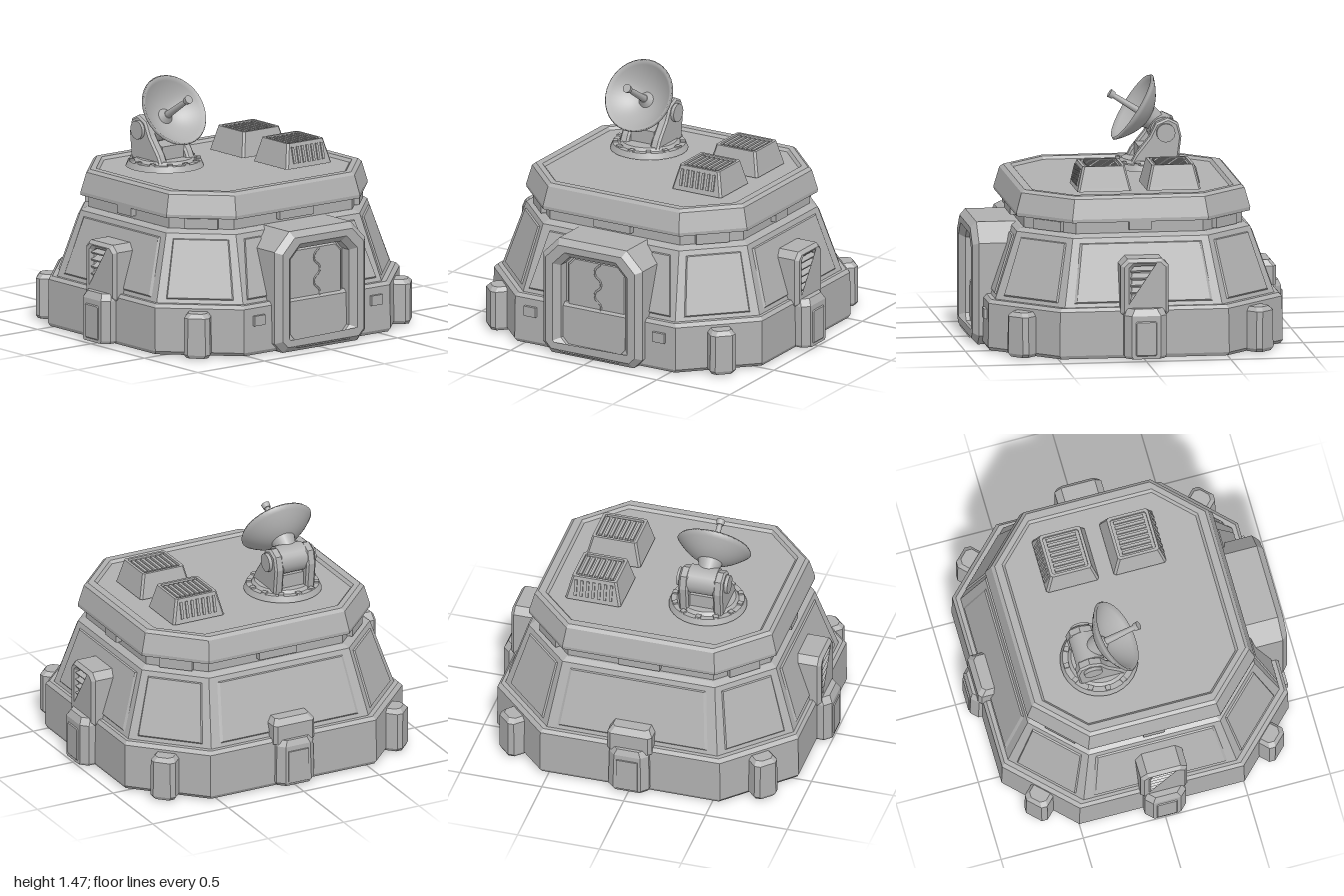
import * as THREE from 'three';

const grey = new THREE.MeshStandardMaterial({ color: 0xb0b0b0 });
grey.name = 'hull grey';

function add(parent, name, geo, x = 0, y = 0, z = 0) {
  const m = new THREE.Mesh(geo, grey);
  m.name = name;
  m.position.set(x, y, z);
  parent.add(m);
  return m;
}

// Corners of a chamfered rectangle, running from +x towards +z
function octagon(X, Z, c) {
  return [[X, Z - c], [X - c, Z], [c - X, Z], [-X, Z - c],
    [-X, c - Z], [c - X, -Z], [X - c, -Z], [X, c - Z]];
}

function triangles(list) {
  const g = new THREE.BufferGeometry();
  g.setAttribute('position', new THREE.Float32BufferAttribute(list.flat(2), 3));
  g.computeVertexNormals();
  return g;
}

// Stack of chamfered rectangles [halfX, halfZ, chamfer, y], closed at both ends
function loft(rows) {
  const rings = rows.map(([X, Z, c, y]) => octagon(X, Z, c).map(([x, z]) => [x, y, z]));
  const t = [];
  for (let r = 0; r + 1 < rings.length; r++) {
    for (let i = 0; i < 8; i++) {
      const j = (i + 1) % 8, lo = rings[r], hi = rings[r + 1];
      t.push([lo[j], lo[i], hi[i]], [lo[j], hi[i], hi[j]]);
    }
  }
  const bot = rings[0], top = rings[rings.length - 1];
  for (let i = 1; i < 7; i++) t.push([bot[0], bot[i], bot[i + 1]], [top[0], top[i + 1], top[i]]);
  return triangles(t);
}

// Upright outline with cut corners
function outline(w, y0, y1, cb, ct, Kind = THREE.Shape) {
  const s = new Kind();
  [[w - cb, y0], [w, y0 + cb], [w, y1 - ct], [w - ct, y1], [ct - w, y1],
    [-w, y1 - ct], [-w, y0 + cb], [cb - w, y0]].forEach(([x, y], i) => (i ? s.lineTo(x, y) : s.moveTo(x, y)));
  s.closePath();
  return s;
}

// Extrusion from z0 to z1 with a bevelled edge
function slab(shape, z0, z1, b) {
  const g = new THREE.ExtrudeGeometry(shape, {
    depth: z1 - z0 - 2 * b, bevelEnabled: b > 0, bevelThickness: b, bevelSize: b, bevelOffset: -b, bevelSegments: 1 });
  return g.translate(0, 0, z0 + b);
}

// Thin raised plate on a sloping wall; u and v run 0..1 across and up the face
function wallPlate(parent, name, lo, hi, i, u0, u1, v0, v1, inset = 0) {
  const j = (i + 1) % 8;
  const P = (r, k) => { const p = octagon(r[0], r[1], r[2])[k]; return new THREE.Vector3(p[0], r[3], p[1]); };
  const a = P(lo, j), b = P(lo, i), c = P(hi, i), d = P(hi, j);
  const n = b.clone().sub(a).cross(d.clone().sub(a)).normalize();
  const at = (u, v, h) => a.clone().lerp(b, u).lerp(d.clone().lerp(c, u), v).addScaledVector(n, h).toArray();
  const uv = [[u0, v0], [u1, v0], [u1 - inset, v1], [u0 + inset, v1]];
  const base = uv.map(([u, v]) => at(u, v, -0.004));
  const um = (u0 + u1) / 2, vm = (v0 + v1) / 2;
  const face = uv.map(([u, v]) => at(u + (um - u) * 0.05, v + (vm - v) * 0.05, 0.009));
  const t = [[face[0], face[1], face[2]], [face[0], face[2], face[3]]];
  for (let k = 0; k < 4; k++) {
    const m = (k + 1) % 4;
    t.push([base[k], base[m], face[m]], [base[k], face[m], face[k]]);
  }
  add(parent, name, triangles(t));
}

function makeDoor() {
  const door = new THREE.Group();
  door.name = 'door';
  add(door, 'doorBlock', slab(outline(0.34, 0, 0.72, 0.06, 0.11), 0.5, 0.83, 0));
  const rim = outline(0.34, 0, 0.72, 0.06, 0.11);
  rim.holes.push(outline(0.22, 0.06, 0.61, 0.04, 0.06, THREE.Path));
  add(door, 'doorFrame', slab(rim, 0.79, 0.93, 0.035));
  add(door, 'doorPanel', slab(outline(0.2, 0.06, 0.6, 0.04, 0.05), 0.8, 0.855, 0.012));
  const seam = [];
  for (let i = 0; i <= 14; i++) seam.push(new THREE.Vector3(0.01 + (Math.floor(i / 2) % 2 ? 0.018 : -0.018), 0.08 + i * 0.036, 0.855));
  add(door, 'doorSeam', new THREE.TubeGeometry(new THREE.CatmullRomCurve3(seam), 60, 0.006, 5));
  door.rotation.y = Math.PI / 2;
  return door;
}

// Louvred intake with its lower housing
function makeIntake() {
  const g = new THREE.Group();
  g.name = 'intake';
  const hood = outline(0.142, 0.27, 0.6, 0.01, 0.04);
  hood.holes.push(outline(0.075, 0.3, 0.555, 0.005, 0.015, THREE.Path));
  add(g, 'intakeHood', slab(hood, 0.7, 0.945, 0.02));
  add(g, 'intakeBack', new THREE.BoxGeometry(0.2, 0.28, 0.12), 0, 0.43, 0.84);
  for (let i = 0; i < 6; i++) {
    add(g, 'intakeSlat', new THREE.BoxGeometry(0.17, 0.012, 0.045), 0, 0.322 + i * 0.043, 0.917).rotation.x = 0.5;
  }
  add(g, 'intakeHousing', loft([[0.115, 0.12, 0.04, 0.015], [0.125, 0.12, 0.04, 0.03], [0.125, 0.12, 0.04, 0.27], [0.105, 0.1, 0.04, 0.31]]), 0, 0, 0.88);
  add(g, 'housingPlate', slab(outline(0.065, 0.03, 0.24, 0.01, 0.01), 0.98, 1.006, 0.008));
  return g;
}

function makeRoofVent(side) {
  const g = new THREE.Group();
  g.name = 'roofVent';
  add(g, 'ventBody', loft([[0.16, 0.17, 0.012, 0], [0.155, 0.165, 0.012, 0.02], [0.125, 0.135, 0.012, 0.145],
    [0.108, 0.118, 0.008, 0.145], [0.108, 0.118, 0.008, 0.13]]));
  for (let i = 0; i < 7; i++) {
    const k = i - 3;
    add(g, 'topSlat', new THREE.BoxGeometry(0.18, 0.012, 0.018), 0, 0.136, k * 0.032);
    add(g, 'sideSlat', new THREE.BoxGeometry(0.018, 0.1, 0.016), side * 0.141, 0.075, k * 0.036).rotation.z = side * 0.24;
  }
  return g;
}

function makeDish() {
  const g = new THREE.Group();
  g.name = 'dishAntenna';
  // Turntable
  add(g, 'turntable', new THREE.CylinderGeometry(0.215, 0.23, 0.035, 32), 0, 0.015, 0);
  add(g, 'turntableTop', new THREE.CylinderGeometry(0.165, 0.185, 0.02, 32), 0, 0.04, 0);
  for (let i = 0; i < 12; i++) {
    const a = i * Math.PI / 6;
    add(g, 'turntableBolt', new THREE.BoxGeometry(0.03, 0.014, 0.03), 0.198 * Math.cos(a), 0.036, 0.198 * Math.sin(a)).rotation.y = -a;
  }
  // Yoke and pivot drum
  const arm = new THREE.Shape([[-0.15, 0.03], [0.13, 0.03], [0.1, 0.09], [0.02, 0.19], [-0.02, 0.27], [-0.09, 0.3], [-0.15, 0.27], [-0.17, 0.19]]
    .map(([x, y]) => new THREE.Vector2(x, y)));
  for (const s of [-1, 1]) {
    const z = s * 0.105;
    add(g, 'yokeArm', slab(arm, z - 0.03, z + 0.03, 0.012));
    add(g, 'pivotCap', new THREE.CylinderGeometry(0.055, 0.055, 0.03, 24), -0.075, 0.215, s * 0.14).rotation.x = Math.PI / 2;
  }
  add(g, 'pivotDrum', new THREE.CylinderGeometry(0.085, 0.085, 0.17, 24), -0.075, 0.215, 0).rotation.x = Math.PI / 2;
  add(g, 'yokeBase', new THREE.BoxGeometry(0.2, 0.1, 0.16), -0.02, 0.08, 0);
  // Reflector and feed, built along +y and tilted towards +x
  const head = new THREE.Group();
  head.name = 'dishHead';
  const outer = [], inner = [];
  for (let i = 0; i <= 10; i++) {
    const r = 0.222 * i / 10, y = -0.115 + 0.115 * (i / 10) ** 2;
    outer.push(new THREE.Vector2(r, y));
    inner.unshift(new THREE.Vector2(r * 0.955, y + 0.014));
  }
  add(head, 'reflector', new THREE.LatheGeometry([...outer, ...inner], 40));
  add(head, 'feedHub', new THREE.CylinderGeometry(0.024, 0.055, 0.04, 20), 0, -0.085, 0);
  add(head, 'feedRod', new THREE.CylinderGeometry(0.015, 0.022, 0.23, 16), 0, 0.03, 0);
  add(head, 'feedTip', new THREE.CylinderGeometry(0.026, 0.022, 0.03, 16), 0, 0.15, 0);
  add(head, 'dishNeck', new THREE.CylinderGeometry(0.075, 0.05, 0.09, 20), 0, -0.14, 0);
  head.position.set(0.098, 0.345, 0.01);
  head.rotation.z = -1.005;
  g.add(head);
  return g;
}

export function createModel() {
  const model = new THREE.Group();
  model.name = 'outpost';

  // Hull
  const wallLow = [0.825, 0.88, 0.36, 0.31], wallHigh = [0.69, 0.755, 0.29, 0.7];
  add(model, 'base', loft([[0.86, 0.91, 0.37, 0.01], [0.872, 0.92, 0.37, 0.03], [0.868, 0.918, 0.37, 0.29], [0.85, 0.9, 0.365, 0.31]]));
  add(model, 'wall', loft([[0.825, 0.88, 0.36, 0.29], wallLow, wallHigh, [0.66, 0.725, 0.28, 0.72]]));
  add(model, 'neck', loft([[0.645, 0.715, 0.27, 0.7], [0.645, 0.715, 0.27, 0.8]]));
  add(model, 'roof', loft([[0.66, 0.72, 0.28, 0.785], [0.69, 0.755, 0.29, 0.79], [0.692, 0.755, 0.29, 0.81], [0.66, 0.725, 0.275, 0.925],
    [0.64, 0.705, 0.265, 0.942], [0.595, 0.66, 0.22, 0.942], [0.58, 0.645, 0.21, 0.925]]));

  // Raised wall plates: one per corner, broad ones elsewhere, a pair beside the door
  for (const i of [0, 2, 4, 6]) wallPlate(model, 'cornerPlate', wallLow, wallHigh, i, 0.1, 0.9, 0.05, 0.93);
  for (const i of [1, 3, 5]) wallPlate(model, 'sidePlate', wallLow, wallHigh, i, 0.05, 0.95, 0.05, 0.93);
  for (const u of [0.03, 0.78]) wallPlate(model, 'doorSidePlate', wallLow, wallHigh, 7, u, u + 0.19, 0.05, 0.93, 0.03);

  // Brackets under the roof
  for (const s of [-1, 1]) {
    add(model, 'roofBracket', new THREE.BoxGeometry(0.13, 0.05, 0.06), 0, 0.765, s * 0.72);
    add(model, 'roofBracket', new THREE.BoxGeometry(0.06, 0.05, 0.25), s * 0.65, 0.765, 0);
    for (const t of [-1, 1]) {
      const yaw = Math.atan2(s, t);
      add(model, 'cornerBracket', new THREE.BoxGeometry(0.2, 0.06, 0.05), s * 0.515, 0.755, t * 0.585).rotation.y = yaw;
      // Corner buttresses
      add(model, 'buttress', loft([[0.065, 0.07, 0.025, 0.01], [0.078, 0.08, 0.025, 0.03], [0.075, 0.08, 0.025, 0.25], [0.055, 0.06, 0.025, 0.275]]),
        s * 0.69, 0, t * 0.75).rotation.y = yaw;
    }
    add(model, 'baseLatch', new THREE.BoxGeometry(0.03, 0.06, 0.08), 0.872, 0.215, s * 0.44);
  }

  // Front and back intakes, left-hand door
  const front = makeIntake(), back = makeIntake();
  front.position.x = 0.01;
  back.rotation.y = Math.PI;
  model.add(front, back, makeDoor());

  // Side housing opposite the door
  add(model, 'sideHousing', loft([[0.1, 0.115, 0.04, 0.02], [0.11, 0.125, 0.04, 0.04], [0.105, 0.12, 0.04, 0.27], [0.09, 0.1, 0.035, 0.305]]), -0.825, 0, 0);
  add(model, 'sideHousingPlate', new THREE.BoxGeometry(0.02, 0.2, 0.13), -0.93, 0.14, 0);
  add(model, 'sideHood', loft([[0.1, 0.135, 0.02, 0.28], [0.1, 0.135, 0.02, 0.395], [0.07, 0.11, 0.02, 0.43]]), -0.795, 0, 0);

  // Roof equipment
  const ventA = makeRoofVent(-1), ventB = makeRoofVent(1), dish = makeDish();
  ventA.position.set(-0.23, 0.935, -0.37);
  ventB.position.set(0.18, 0.935, -0.37);
  dish.position.set(-0.205, 0.94, 0.28);
  model.add(ventA, ventB, dish);
  return model;
}
